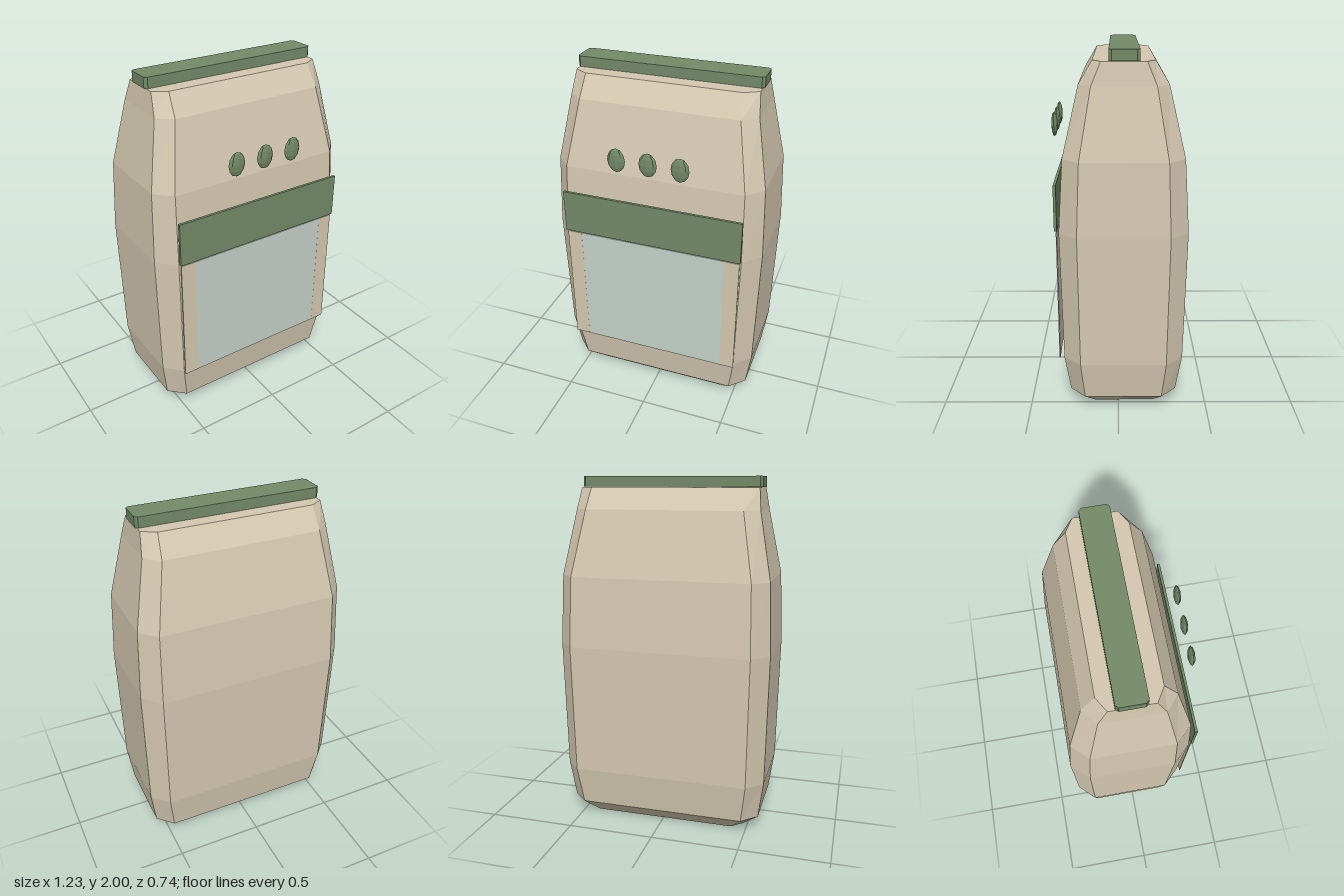
import * as THREE from 'three';

const material = (name, color) => {
  const m = new THREE.MeshStandardMaterial({ color, flatShading: true });
  m.name = name;
  return m;
};

// Rectangle with cut corners, counter-clockwise seen from above
function ring([y, hx, hz, cx, cz], zMid) {
  const a = hx - cx, b = hz - cz;
  return [[hx, b], [hx, -b], [a, -hz], [-a, -hz], [-hx, -b], [-hx, b], [-a, hz], [a, hz]]
    .map(([x, z]) => [x, y, z + zMid]);
}

// Closed loft through cut-corner rings, from bottom to top
function loft(levels, zMid) {
  const rings = levels.map((l) => ring(l, zMid));
  const pos = [];
  const tri = (a, b, c) => pos.push(...a, ...b, ...c);
  const n = 8;
  for (let i = 0; i < rings.length - 1; i++) {
    const lo = rings[i], hi = rings[i + 1];
    for (let j = 0; j < n; j++) {
      const k = (j + 1) % n;
      tri(lo[j], lo[k], hi[k]);
      tri(lo[j], hi[k], hi[j]);
    }
  }
  const bottom = rings[0], top = rings[rings.length - 1];
  for (let j = 1; j < n - 1; j++) {
    tri(bottom[0], bottom[j + 1], bottom[j]);
    tri(top[0], top[j], top[j + 1]);
  }
  const g = new THREE.BufferGeometry();
  g.setAttribute('position', new THREE.Float32BufferAttribute(pos, 3));
  g.computeVertexNormals();
  return g;
}

export function createModel() {
  const group = new THREE.Group();
  const beige = material('beige', 0xd4c8b0);
  const green = material('green', 0x738a67);
  const pale = material('paleBlue', 0xc4d1c8);

  const add = (name, geometry, mat, x = 0, y = 0, z = 0) => {
    const mesh = new THREE.Mesh(geometry, mat);
    mesh.name = name;
    mesh.position.set(x, y, z);
    group.add(mesh);
    return mesh;
  };

  // Bulging body: height, half width, half depth, corner cuts in x and z
  add('body', loft([
    [0, 0.475, 0.225, 0.065, 0.06],
    [0.08, 0.567, 0.3, 0.087, 0.085],
    [0.3, 0.598, 0.332, 0.09, 0.095],
    [1.05, 0.613, 0.344, 0.093, 0.1],
    [1.45, 0.597, 0.318, 0.087, 0.09],
    [1.82, 0.525, 0.232, 0.08, 0.067],
    [1.94, 0.51, 0.16, 0.075, 0.045],
  ], -0.028), beige);

  // Folded strip along the top
  add('topStrip', loft([
    [1.942, 0.52, 0.078, 0.015, 0.015],
    [2, 0.52, 0.078, 0.015, 0.015],
  ], -0.03), green);

  // Front band, panel and its side strips
  add('frontBand', new THREE.BoxGeometry(1.04, 0.25, 0.015), green, 0, 1.185, 0.333);
  add('frontPanel', new THREE.BoxGeometry(0.86, 0.75, 0.005), pale, 0, 0.675, 0.329);
  for (const s of [-1, 1]) {
    add(s > 0 ? 'leftPanelStrip' : 'rightPanelStrip',
      new THREE.BoxGeometry(0.086, 0.75, 0.006), beige, s * 0.471, 0.675, 0.329);
  }

  // Row of faceted buttons
  for (const x of [-0.178, 0, 0.178]) {
    add('button', new THREE.SphereGeometry(1, 8, 6), green, x, 1.567, 0.352).scale.set(0.051, 0.068, 0.018);
  }
  return group;
}
